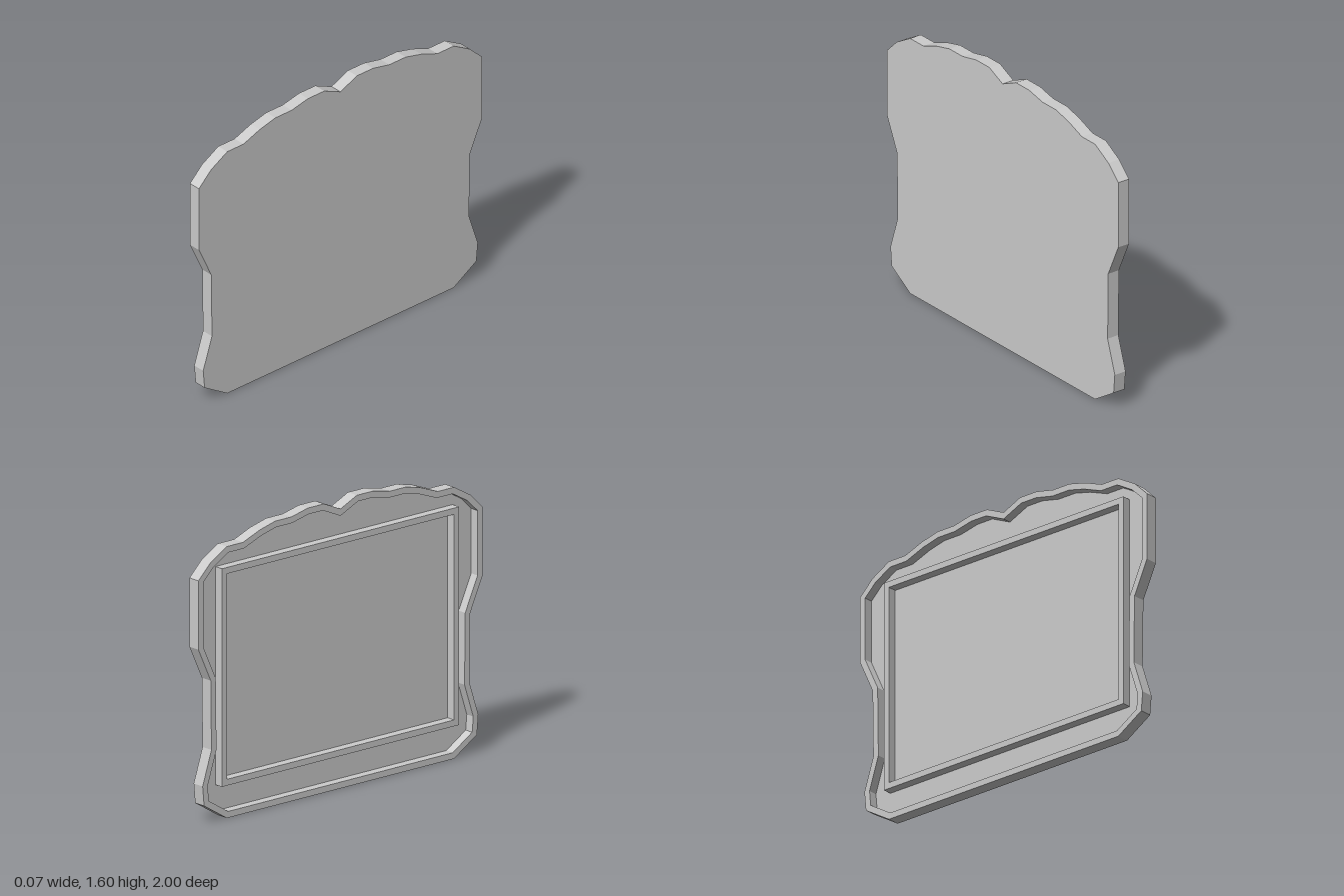
import * as THREE from 'three';

const FACE = 0.036;   // half of the total thickness
const FLOOR = 0.052;  // depth of the hollow side
const RIM = 0.035;    // width of the outer rim

// Half outline as [z, y], from the notch at the top down to the base
const half = [
  [0, 1.55], [0.115, 1.602], [0.23, 1.602], [0.345, 1.577], [0.46, 1.577], [0.57, 1.55],
  [0.685, 1.506], [0.8, 1.506], [0.915, 1.44], [1, 1.357], [1, 0.975], [0.913, 0.785],
  [0.908, 0.4], [0.97, 0.21], [0.96, 0.1], [0.8, 0],
];

// Full clockwise outline, mirrored about z = 0
function outlinePoints() {
  const mirrored = half.slice(1).reverse().map(([z, y]) => [-z, y]);
  return [...half, ...mirrored].map(([z, y]) => new THREE.Vector2(z, y));
}

// Mitred inward offset of a clockwise polygon
function inset(points, distance) {
  const n = points.length;
  const normal = (a, b) => new THREE.Vector2(b.y - a.y, a.x - b.x).normalize();
  return points.map((p, i) => {
    const n1 = normal(points[(i + n - 1) % n], p);
    const n2 = normal(p, points[(i + 1) % n]);
    const miter = n1.clone().add(n2);
    return p.clone().addScaledVector(miter, distance / (1 + n1.dot(n2)));
  });
}

// Clockwise rectangle
const rectangle = (w, y0, y1) => [
  new THREE.Vector2(-w, y1), new THREE.Vector2(w, y1),
  new THREE.Vector2(w, y0), new THREE.Vector2(-w, y0),
];

// Extrudes a clockwise [z, y] polygon from x = startX towards -x.
// The hole runs the opposite way so that its walls face the opening.
function slab(name, points, hole, startX, depth) {
  const shape = new THREE.Shape(points);
  if (hole) shape.holes.push(new THREE.Path([...hole].reverse()));
  const geometry = new THREE.ExtrudeGeometry(shape, { depth, bevelEnabled: false });
  geometry.rotateY(-Math.PI / 2).translate(startX, 0, 0);
  const material = new THREE.MeshStandardMaterial({ color: 0xcccccc, flatShading: true });
  const mesh = new THREE.Mesh(geometry, material);
  mesh.name = name;
  return mesh;
}

export function createModel() {
  const group = new THREE.Group();
  group.name = 'headboardPanel';
  const outline = outlinePoints();
  const plateDepth = 2 * FACE - FLOOR;
  const floorX = FACE - plateDepth;

  // Flat plate, smooth on the +x side
  group.add(slab('backPlate', outline, null, FACE, plateDepth));
  // Raised rim that follows the outline
  group.add(slab('outerRim', outline, inset(outline, RIM), floorX, FLOOR));
  // Raised rectangular frame inside the rim
  group.add(slab('innerFrame', rectangle(0.835, 0.18, 1.39), rectangle(0.8, 0.215, 1.355), floorX, FLOOR));

  return group;
}
